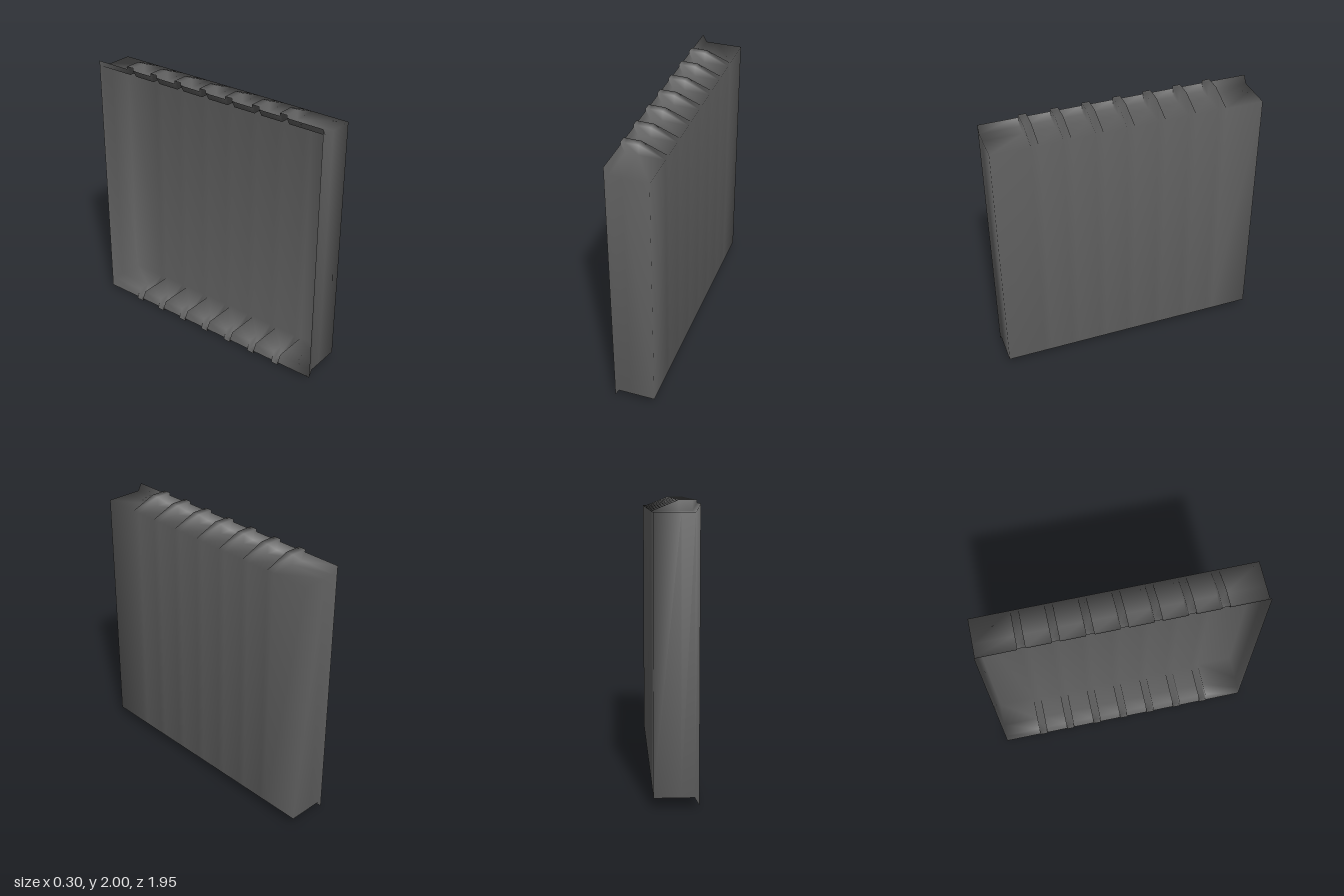
import * as THREE from 'three';
import { mergeVertices } from 'three/addons/utils/BufferGeometryUtils.js';

// Upper half of each cross-section as [x, y], from the open lip to the closed face
const PLAIN = [[-0.15, 1.98], [-0.12, 1.927], [-0.03, 1.927], [0.15, 1.927]];
const RIB = [[-0.15, 2], [-0.12, 2], [-0.03, 2], [0.15, 1.927]];
const END_Z = 0.975, RIB_COUNT = 7, RIB_STEP = 0.223, RIB_HALF = 0.028;

// Complete the section by mirroring it about y = 1
const fullSection = (half) => [...half, ...half.map(([x, y]) => [x, 2 - y]).reverse()];

function trayGeometry() {
  // Cross-sections along z: the profile steps out to the rib and back again
  const sections = [[-END_Z, PLAIN]];
  for (let i = 0; i < RIB_COUNT; i++) {
    const z = (i - (RIB_COUNT - 1) / 2) * RIB_STEP;
    sections.push([z - RIB_HALF, PLAIN], [z - RIB_HALF, RIB], [z + RIB_HALF, RIB], [z + RIB_HALF, PLAIN]);
  }
  sections.push([END_Z, PLAIN]);

  const n = PLAIN.length * 2;
  const positions = [], index = [];
  for (const [z, half] of sections) {
    for (const [x, y] of fullSection(half)) positions.push(x, y, z);
  }
  const quad = (a, b, c, d) => index.push(a, b, c, a, c, d);

  // Top, closed face and bottom
  for (let s = 0; s < sections.length - 1; s++) {
    for (let i = 0; i < n - 1; i++) {
      const a = s * n + i;
      quad(a, a + n, a + n + 1, a + 1);
    }
  }

  // End walls, front and back
  const last = (sections.length - 1) * n;
  for (let i = 0; i < n / 2 - 1; i++) {
    quad(last + i, last + n - 1 - i, last + n - 2 - i, last + i + 1);
    quad(i, i + 1, n - 2 - i, n - 1 - i);
  }

  const geometry = new THREE.BufferGeometry();
  geometry.setAttribute('position', new THREE.Float32BufferAttribute(positions, 3));
  geometry.setIndex(index);
  const merged = mergeVertices(geometry);
  merged.computeVertexNormals();
  return merged;
}

export function createModel() {
  const group = new THREE.Group();
  group.name = 'ribbedTray';
  const material = new THREE.MeshStandardMaterial({ color: 0x606060, side: THREE.DoubleSide });
  const shell = new THREE.Mesh(trayGeometry(), material);
  shell.name = 'ribbedShell';
  group.add(shell);
  return group;
}
